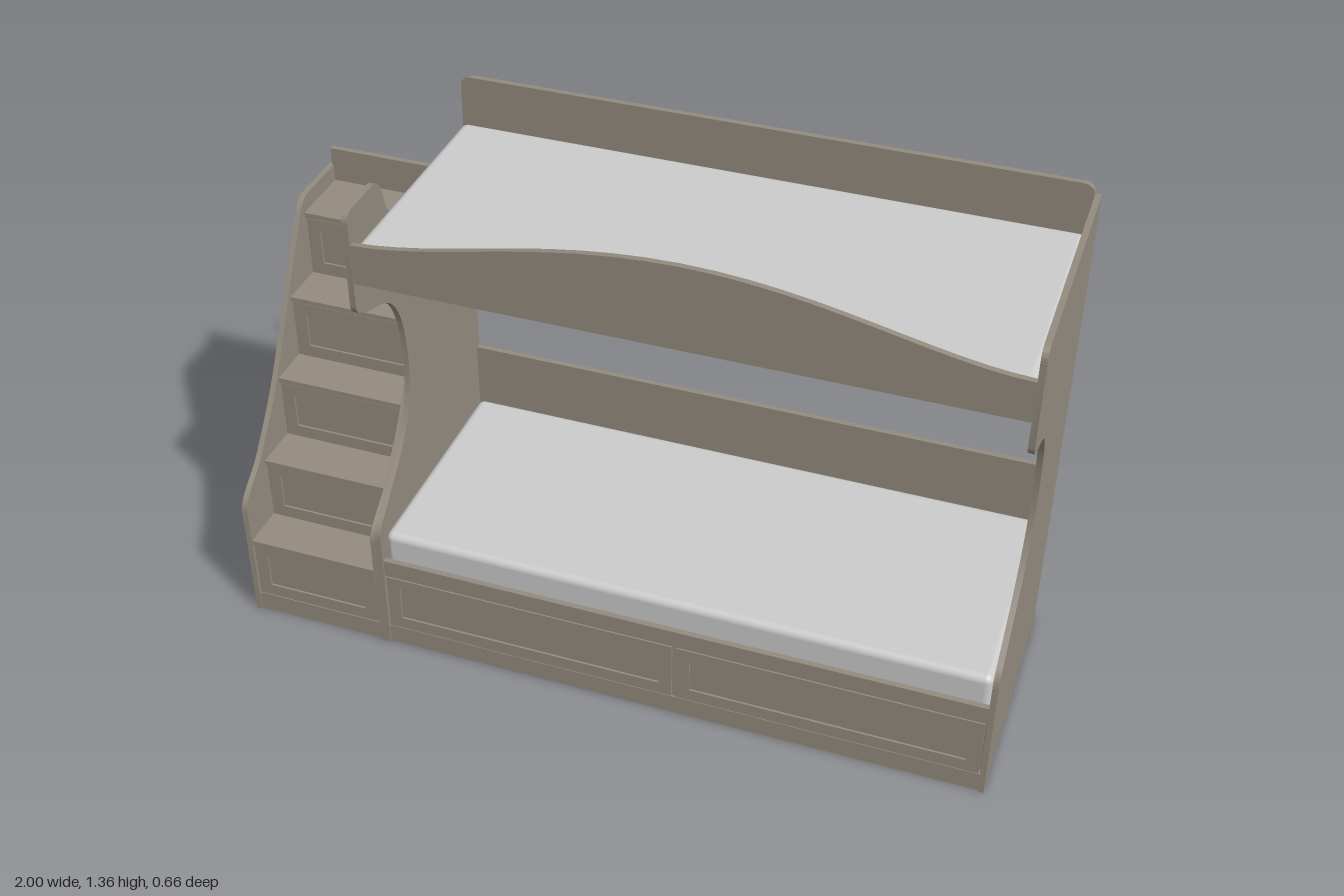
import * as THREE from 'three';
import { RoundedBoxGeometry } from 'three/addons/geometries/RoundedBoxGeometry.js';
import { toCreasedNormals } from 'three/addons/utils/BufferGeometryUtils.js';

const wood = new THREE.MeshStandardMaterial({ color: 0x948b7f });
const fabric = new THREE.MeshStandardMaterial({ color: 0xcccccc });
const T = 0.015; // board thickness

export function createModel() {
  const root = new THREE.Group();

  function add(name, geometry, material = wood, parent = root) {
    const mesh = new THREE.Mesh(geometry, material);
    mesh.name = name;
    parent.add(mesh);
    return mesh;
  }

  // Box given by its limits on each axis
  function board(name, x0, x1, y0, y1, z0, z1, parent = root) {
    const g = new THREE.BoxGeometry(x1 - x0, y1 - y0, z1 - z0);
    g.translate((x0 + x1) / 2, (y0 + y1) / 2, (z0 + z1) / 2);
    return add(name, g, wood, parent);
  }

  function extrude(shape, depth) {
    const g = new THREE.ExtrudeGeometry(shape, { depth, bevelEnabled: false, curveSegments: 12 });
    return toCreasedNormals(g, 0.5);
  }

  // Upright panel drawn in (z, y), with its lower face at x
  function sidePanel(name, shape, x) {
    const g = extrude(shape, T);
    g.rotateY(-Math.PI / 2);
    g.translate(x + T, 0, 0);
    return add(name, g);
  }

  // Panel drawn in (x, y), with its back face at z
  function facePanel(name, shape, z, depth = T, parent = root) {
    const g = extrude(shape, depth);
    g.translate(0, 0, z);
    return add(name, g, wood, parent);
  }

  // Framed drawer front with a recessed centre
  function drawer(name, x0, x1, y0, y1, z) {
    const group = new THREE.Group();
    group.name = name;
    root.add(group);
    const rect = (s, a, b, c, d) => s.moveTo(a, c).lineTo(b, c).lineTo(b, d).lineTo(a, d).closePath();
    const frame = rect(new THREE.Shape(), x0, x1, y0, y1);
    frame.holes.push(rect(new THREE.Path(), x0 + 0.035, x1 - 0.035, y0 + 0.035, y1 - 0.03));
    facePanel('drawerFrame', frame, z - 0.012, 0.012, group);
    board('drawerPanel', x0 + 0.03, x1 - 0.03, y0 + 0.03, y1 - 0.025, z - 0.016, z - 0.006, group);
  }

  // Bed ends with a scooped front edge; the stair end dips for access
  function bedEnd(access) {
    const s = new THREE.Shape();
    s.moveTo(-0.33, 0).lineTo(0.33, 0).lineTo(0.33, 0.35);
    s.bezierCurveTo(0.33, 0.39, 0.305, 0.4, 0.28, 0.425);
    s.lineTo(0.2, 0.5);
    s.bezierCurveTo(0.135, 0.565, 0.09, 0.63, 0.09, 0.74);
    s.bezierCurveTo(0.09, 0.87, 0.118, 0.965, 0.19, 0.997);
    s.bezierCurveTo(0.24, 1.022, 0.33, 1.035, 0.33, 1.075);
    s.lineTo(0.33, 1.3).quadraticCurveTo(0.33, 1.33, 0.3, 1.33);
    if (access) {
      s.lineTo(0.2, 1.33);
      s.bezierCurveTo(0.12, 1.33, 0.17, 1.2, 0.08, 1.2);
      s.lineTo(-0.33, 1.2);
    } else s.lineTo(-0.33, 1.33);
    return s.closePath();
  }
  sidePanel('leftBedEnd', bedEnd(false), 1 - T);
  sidePanel('rightBedEnd', bedEnd(true), -0.615);

  // Inside limits of the bed
  const L = -0.6, R = 0.985;

  // Back panels
  board('lowerBackPanel', -0.615, R, 0, 0.53, -0.33, -0.315);
  const guard = new THREE.Shape();
  guard.moveTo(L, 0.97).lineTo(R, 0.97).lineTo(R, 1.33).quadraticCurveTo(R, 1.36, R - 0.03, 1.36);
  guard.lineTo(L + 0.03, 1.36).quadraticCurveTo(L, 1.36, L, 1.33).closePath();
  facePanel('upperBackPanel', guard, -0.33);

  // Front guard with a wavy top edge
  const wave = new THREE.Shape();
  const mid = (L + R) / 2;
  wave.moveTo(L, 1.14).lineTo(R, 1.14).lineTo(R, 1.245);
  wave.bezierCurveTo(0.76, 1.25, 0.52, 1.36, mid, 1.36);
  wave.bezierCurveTo(-0.14, 1.36, -0.38, 1.25, L, 1.245).closePath();
  facePanel('frontGuard', wave, 0.313);

  // Upper bunk base and the open shelf under it
  board('upperBase', L, R, 1.138, 1.152, -0.315, 0.313);
  board('shelfBottom', L, R, 0.97, 0.982, -0.315, -0.13);
  for (let i = 1; i < 5; i++) {
    const x = L + ((R - L) * i) / 5;
    board('shelfDivider', x - 0.006, x + 0.006, 0.982, 1.138, -0.315, -0.13);
  }

  // Mattresses
  function mattress(name, y0, y1) {
    const g = new RoundedBoxGeometry(R - L - 0.004, y1 - y0, 0.622, 4, 0.02);
    g.translate(mid, (y0 + y1) / 2, -0.002);
    add(name, g, fabric);
  }
  mattress('lowerMattress', 0.22, 0.36);
  mattress('upperMattress', 1.152, 1.235);

  // Lower front with two drawers
  board('bedPlinth', L, R, 0, 0.055, 0.31, 0.325);
  board('bedFrontRail', L, R, 0.23, 0.28, 0.31, 0.325);
  board('drawerDivider', 0.188, 0.2, 0.055, 0.23, 0.305, 0.32);
  drawer('bedDrawer', L + 0.004, 0.188, 0.058, 0.227, 0.326);
  drawer('bedDrawer', 0.2, R - 0.004, 0.058, 0.227, 0.326);

  // Staircase sides with a swept front edge
  const stair = new THREE.Shape();
  stair.moveTo(-0.33, 0).lineTo(0.33, 0).lineTo(0.33, 0.34);
  stair.bezierCurveTo(0.33, 0.39, 0.25, 0.41, 0.21, 0.47);
  stair.bezierCurveTo(0.13, 0.56, 0.08, 0.64, 0.03, 0.74);
  stair.lineTo(-0.12, 1.0).quadraticCurveTo(-0.14, 1.03, -0.17, 1.03);
  stair.lineTo(-0.33, 1.03).closePath();
  sidePanel('stairOuterSide', stair, -1);
  sidePanel('stairInnerSide', stair, -0.63);
  board('stairBack', -0.99, -0.615, 0, 1.08, -0.33, -0.315);

  // Steps: tread, riser and drawer front
  const A = -0.985, B = -0.63;
  const fronts = [0.325, 0.21, 0.09, -0.02, -0.14];
  const tops = [0.24, 0.425, 0.612, 0.798, 0.985];
  board('stairPlinth', A, B, 0, 0.055, 0.31, 0.325);
  fronts.forEach((z, i) => {
    const low = i ? tops[i - 1] : 0.055;
    const back = i < 4 ? fronts[i + 1] - 0.02 : -0.315;
    board('tread', A, B, tops[i] - 0.014, tops[i], back, z + 0.003);
    board('riser', A, B, low, tops[i] - 0.014, z - 0.025, z - 0.015);
    drawer('stairDrawer', A + 0.003, B - 0.003, low + 0.003, tops[i] - 0.017, z);
  });

  return root;
}
